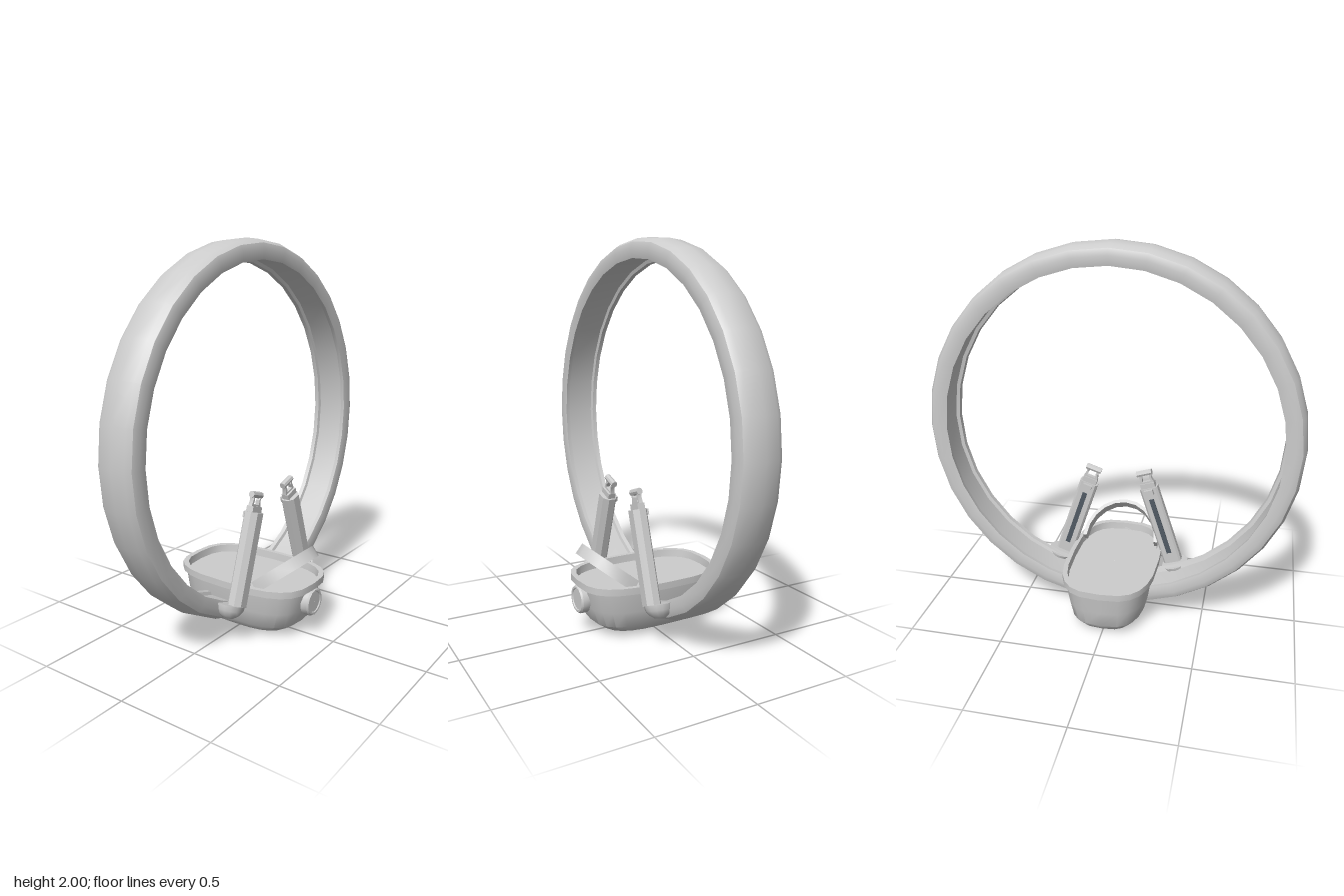
import * as THREE from 'three';
import { toCreasedNormals } from 'three/addons/utils/BufferGeometryUtils.js';

const grey = new THREE.MeshStandardMaterial({ color: 0xcccccc, side: THREE.DoubleSide });
const dark = new THREE.MeshStandardMaterial({ color: 0x505a64 });

function add(parent, name, geometry, x = 0, y = 0, z = 0, material = grey) {
  const mesh = new THREE.Mesh(toCreasedNormals(geometry, 0.6), material);
  mesh.name = name;
  mesh.position.set(x, y, z);
  parent.add(mesh);
  return mesh;
}

const vec = ([x, y]) => new THREE.Vector2(x, y);
const shapeOf = (points) => new THREE.Shape(points.map(vec));

// Skin over rounded-oblong sections given as [halfWidth, halfLength, y, zCentre]
function loft(sections, sides = 24) {
  const pos = [], idx = [];
  const round = (v) => Math.sign(v) * Math.abs(v) ** 0.66;
  for (const [sx, sz, y, cz = 0] of sections) {
    for (let j = 0; j < sides; j++) {
      const a = (j / sides) * Math.PI * 2;
      pos.push(sx * round(Math.cos(a)), y, cz + sz * round(Math.sin(a)));
    }
  }
  for (let i = 0; i < sections.length - 1; i++) {
    for (let j = 0; j < sides; j++) {
      const a = i * sides + j, b = i * sides + (j + 1) % sides;
      idx.push(a, a + sides, b, b, a + sides, b + sides);
    }
  }
  const g = new THREE.BufferGeometry();
  g.setAttribute('position', new THREE.Float32BufferAttribute(pos, 3));
  g.setIndex(idx);
  return g;
}

// Big hoop, open at the bottom where it enters the basin
function hoopGeometry() {
  const profile = [
    [0.97, 0], [0.962, 0.07], [0.945, 0.098], [0.912, 0.11], [0.865, 0.1],
    [0.868, 0.078], [0.885, 0.072], [0.885, -0.072], [0.868, -0.078],
    [0.865, -0.1], [0.912, -0.11], [0.945, -0.098], [0.962, -0.07], [0.97, 0],
  ].map(vec);
  // reorder so the outer side runs upward
  const g = new THREE.LatheGeometry(profile, 30, 0.2, Math.PI * 2 - 0.4);
  return g.rotateX(Math.PI / 2);
}

// Half-oval strap
function strapGeometry() {
  const n = 10, outer = [], inner = [];
  for (let i = 0; i <= n; i++) {
    const a = (i / n) * Math.PI;
    outer.push([0.215 * Math.cos(a), 0.245 * Math.sin(a)]);
    inner.unshift([0.195 * Math.cos(a), 0.225 * Math.sin(a)]);
  }
  const g = new THREE.ExtrudeGeometry(shapeOf([...outer, ...inner]), { depth: 0.06, bevelEnabled: false });
  return g.translate(0, 0, -0.03);
}

// Upright bar with chamfered front, buckle loop on top and round cup below
function makeArm(side) {
  const arm = new THREE.Group();
  arm.name = side > 0 ? 'leftArm' : 'rightArm';
  arm.position.set(side * 0.315, 0.215, 0.13);
  arm.rotation.z = side * 0.318;

  const section = shapeOf([
    [-0.05, -0.01], [-0.025, -0.035], [0.025, -0.035], [0.05, -0.01],
    [0.05, 0.025], [0.04, 0.035], [-0.04, 0.035], [-0.05, 0.025],
  ]);
  const bar = new THREE.ExtrudeGeometry(section, { depth: 0.474, bevelEnabled: false }).rotateX(-Math.PI / 2);
  add(arm, 'armBar', bar);
  add(arm, 'armSlot', new THREE.BoxGeometry(0.026, 0.34, 0.008), 0, 0.24, -0.037, dark);
  add(arm, 'armClip', new THREE.BoxGeometry(0.05, 0.03, 0.02), 0, 0.455, -0.043);

  add(arm, 'buckleNeck', new THREE.BoxGeometry(0.08, 0.03, 0.04), 0, 0.488, -0.008);
  const loop = shapeOf([[-0.04, 0], [0.04, 0], [0.032, 0.035], [0.042, 0.07], [-0.042, 0.07], [-0.032, 0.035]]);
  loop.holes.push(new THREE.Path([[-0.024, 0.012], [-0.02, 0.035], [-0.028, 0.052], [0.028, 0.052], [0.02, 0.035], [0.024, 0.012]].map(vec)));
  add(arm, 'buckleLoop', new THREE.ExtrudeGeometry(loop, { depth: 0.022, bevelEnabled: false }), 0, 0.5, -0.021);
  const grip = new THREE.CylinderGeometry(0.017, 0.017, 0.086, 8).rotateZ(Math.PI / 2);
  add(arm, 'buckleGrip', grip, 0, 0.561, -0.01);

  const cup = [[0.001, -0.075], [0.03, -0.069], [0.054, -0.052], [0.07, -0.027], [0.075, 0], [0.001, 0]];
  add(arm, 'armCup', new THREE.LatheGeometry(cup.map(vec), 14), side * 0.014, 0.006, -0.035);
  return arm;
}

export function createModel() {
  const model = new THREE.Group();
  model.name = 'hoopWithBasin';

  add(model, 'hoop', hoopGeometry(), 0, 1.03, -0.037);

  // Rounded basin with a raised rim and shallow floor
  add(model, 'basin', loft([
    [0.001, 0.001, 0, -0.03], [0.12, 0.235, 0.008, -0.04], [0.165, 0.285, 0.025, -0.03],
    [0.2, 0.33, 0.065, -0.018], [0.222, 0.352, 0.15, -0.008], [0.235, 0.37, 0.255, -0.005],
  ]));
  add(model, 'basinRim', loft([
    [0.23, 0.365, 0.255, -0.003], [0.25, 0.387, 0.255, -0.003], [0.25, 0.387, 0.29, -0.003],
    [0.226, 0.36, 0.29, -0.003], [0.222, 0.356, 0.25, -0.003], [0.001, 0.001, 0.25, -0.003],
  ]));

  // Tilted strap over the front of the basin
  add(model, 'strap', strapGeometry(), 0, 0.286, 0.16).rotation.x = 0.9;

  // Round knob on the front
  const knob = [[0.001, 0.04], [0.052, 0.04], [0.056, 0.045], [0.066, 0.045], [0.073, 0.036], [0.073, 0]];
  const knobGeometry = new THREE.LatheGeometry(knob.reverse().map(vec), 14).rotateX(Math.PI / 2);
  add(model, 'frontKnob', knobGeometry, 0, 0.187, 0.345);

  for (const side of [-1, 1]) model.add(makeArm(side));
  return model;
}
